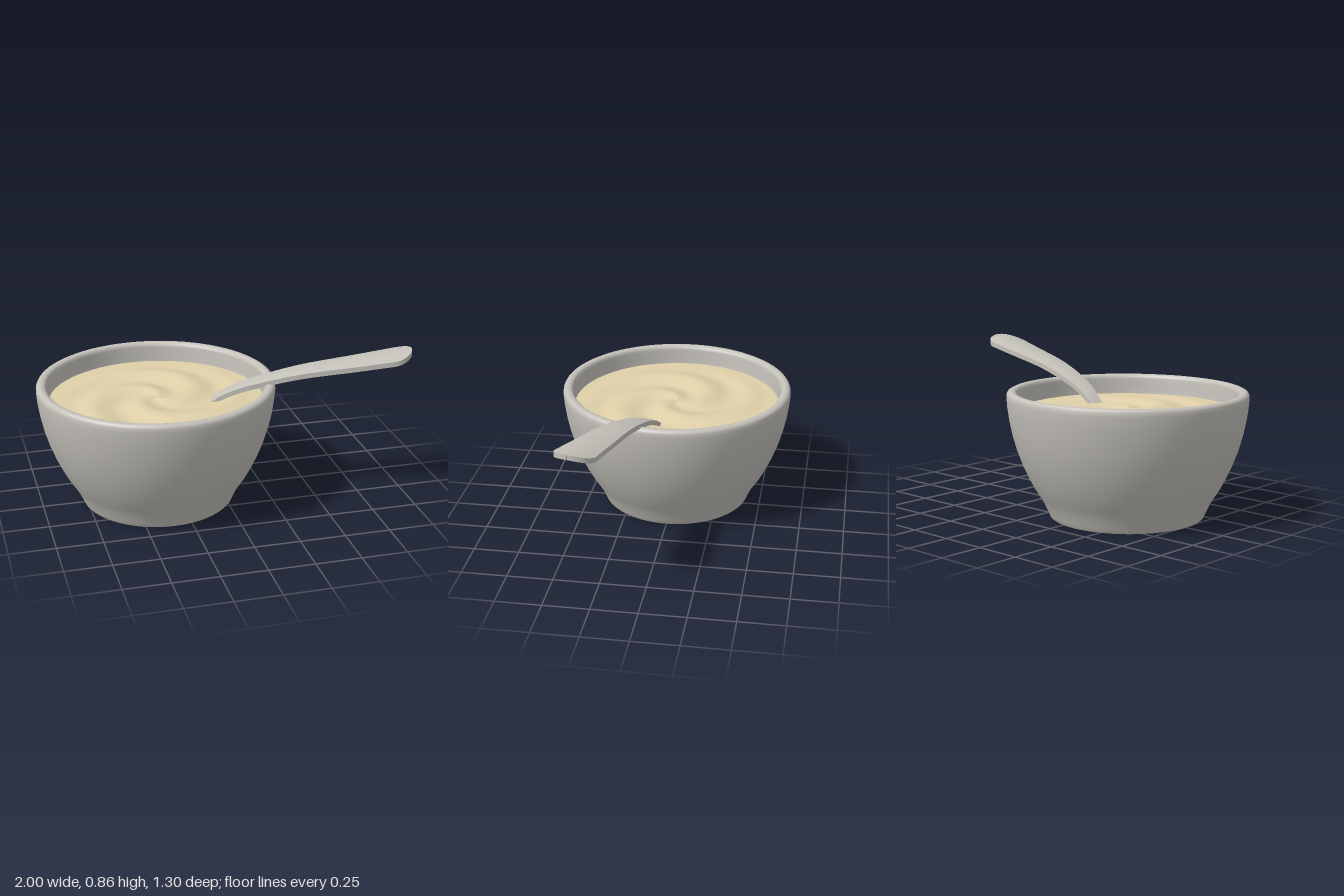
import * as THREE from 'three';
import { mergeVertices, toCreasedNormals } from 'three/addons/utils/BufferGeometryUtils.js';

const stoneware = new THREE.MeshStandardMaterial({ color: 0xc4c1ba });
stoneware.name = 'warm grey stoneware';
const cream = new THREE.MeshStandardMaterial({ color: 0xe0d0a9 });
cream.name = 'cream porridge';

// Bowl: one closed profile from the recessed underside, up the outside, over the rim and down inside
function bowlGeometry() {
  const profile = [
    [0, 0.035], [0.2, 0.033], [0.34, 0.025], [0.39, 0.01], [0.4, 0], [0.413, 0], [0.42, 0.006],
    [0.43, 0.03], [0.453, 0.08], [0.477, 0.12], [0.503, 0.16], [0.535, 0.22], [0.567, 0.29],
    [0.597, 0.37], [0.62, 0.45], [0.637, 0.53], [0.647, 0.6], [0.651, 0.65], [0.65, 0.672],
    [0.644, 0.683], [0.633, 0.689], [0.62, 0.69], [0.607, 0.687], [0.598, 0.679], [0.594, 0.665],
    [0.591, 0.62], [0.586, 0.56], [0.56, 0.42], [0.48, 0.24], [0.36, 0.12], [0, 0.08],
  ].map(([r, y]) => new THREE.Vector2(r, y));
  return new THREE.LatheGeometry(profile, 96);
}

// Porridge: a disc whose surface is raised in three spiral folds
function porridgeGeometry(radius) {
  let g = new THREE.RingGeometry(0, radius, 120, 48);
  g.deleteAttribute('uv');
  g.deleteAttribute('normal');
  g.rotateX(-Math.PI / 2);
  const p = g.attributes.position;
  for (let i = 0; i < p.count; i++) {
    const x = p.getX(i), z = p.getZ(i), r = Math.hypot(x, z);
    const phase = 3 * (Math.atan2(-z, x) + 2.6 - 6.6 * (r - 0.19));
    const fade = Math.min(1, r / 0.14) * (1 - THREE.MathUtils.smoothstep(r, 0.36, 0.56));
    p.setY(i, 0.012 * fade * Math.sin(phase) + 0.008 * (1 - r / radius));
  }
  g = mergeVertices(g, 1e-5);
  g.computeVertexNormals();
  return g;
}

// Spoon handle: thin crowned sections swept along a curve, widening to a round tip
function spoonGeometry() {
  const path = new THREE.CatmullRomCurve3([
    [-0.2, 0.42, 0.06], [-0.035, 0.58, 0.085], [0.08, 0.645, 0.12], [0.2, 0.688, 0.155],
    [0.4, 0.743, 0.205], [0.7, 0.797, 0.275], [0.995, 0.85, 0.34],
  ].map((v) => new THREE.Vector3(...v)));
  const length = path.getLength(), tip = 0.1, half = 0.014, across = 8;
  const stations = [];
  for (let i = 0; i <= 30; i++) stations.push([(length - tip) * i / 30, 1]);
  for (let i = 1; i <= 14; i++) {
    const a = (i / 14) * Math.PI / 2;
    stations.push([length - tip + tip * Math.sin(a), Math.max(Math.cos(a), 0.005)]);
  }
  const side = new THREE.Vector3(-0.243, 0, 0.97);
  const positions = [], index = [], ring = 2 * (across + 1);
  stations.forEach(([s, round], i) => {
    const c = path.getPointAt(Math.min(1, s / length));
    const t = THREE.MathUtils.clamp((c.x + 0.035) / 0.93, 0, 1);
    const w = (0.036 + 0.074 * Math.pow(t, 0.8)) * round;
    for (let j = 0; j < ring; j++) {
      const top = j <= across;
      const u = (top ? j : ring - 1 - j) / across * 2 - 1;
      const crown = 0.018 * (u * w / 0.11) ** 2;
      positions.push(c.x + side.x * u * w, c.y + (top ? half : -half) - crown, c.z + side.z * u * w);
    }
    if (i === 0) return;
    for (let j = 0; j < ring; j++) {
      const k = (j + 1) % ring, a = (i - 1) * ring, b = i * ring;
      index.push(a + j, a + k, b + j, a + k, b + k, b + j);
    }
  });
  const g = new THREE.BufferGeometry();
  g.setAttribute('position', new THREE.Float32BufferAttribute(positions, 3));
  g.setIndex(index);
  return toCreasedNormals(g, 0.7);
}

export function createModel() {
  const model = new THREE.Group();
  model.name = 'bowl of porridge with spoon';
  const add = (name, geometry, material, x = 0, y = 0) => {
    const mesh = new THREE.Mesh(geometry, material);
    mesh.name = name;
    mesh.position.set(x, y, 0);
    model.add(mesh);
  };
  add('bowl', bowlGeometry(), stoneware, -0.35);
  add('porridge', porridgeGeometry(0.588), cream, -0.35, 0.58);
  add('spoon', spoonGeometry(), stoneware);
  return model;
}
